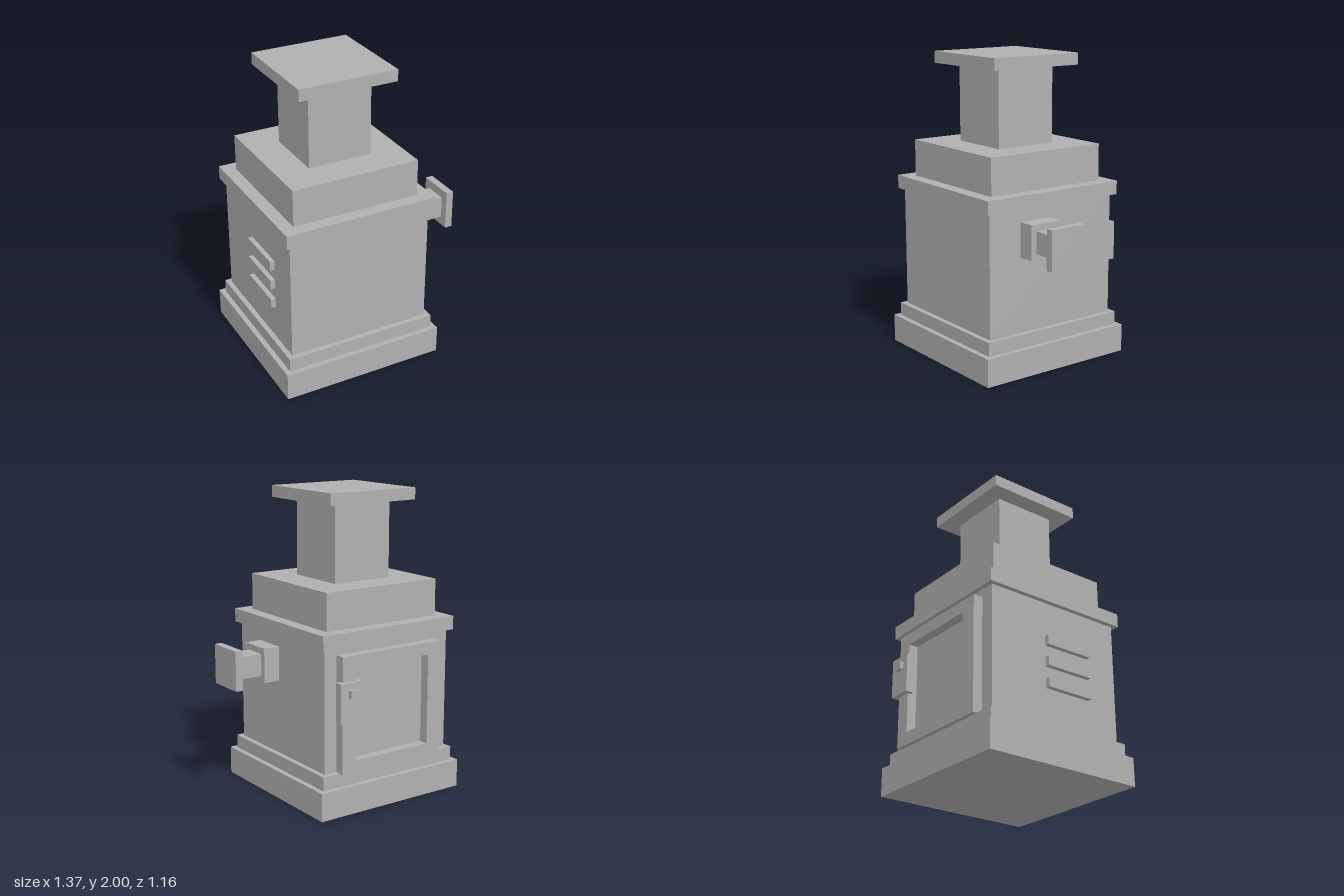
import * as THREE from 'three';

export function createModel() {
  const model = new THREE.Group();
  model.name = 'stove';
  const iron = new THREE.MeshStandardMaterial({ color: 0xb0b0b0 });
  iron.name = 'grey iron';

  // Box given by its extents along each axis
  function block(name, [x0, x1], [y0, y1], [z0, z1], parent = model) {
    const mesh = new THREE.Mesh(new THREE.BoxGeometry(x1 - x0, y1 - y0, z1 - z0), iron);
    mesh.name = name;
    mesh.position.set((x0 + x1) / 2, (y0 + y1) / 2, (z0 + z1) / 2);
    parent.add(mesh);
    return mesh;
  }

  // Stacked square tiers: name, half width, bottom, top
  const cx = -0.135, cz = 0.027;
  const tiers = [
    ['base', 0.554, 0, 0.185],
    ['baseStep', 0.52, 0.185, 0.275],
    ['body', 0.486, 0.275, 1.08],
    ['cornice', 0.518, 1.08, 1.17],
    ['hood', 0.432, 1.17, 1.413],
    ['chimney', 0.215, 1.413, 1.923],
    ['chimneyCap', 0.332, 1.923, 2],
  ];
  for (const [name, h, y0, y1] of tiers) {
    block(name, [cx - h, cx + h], [y0, y1], [cz - h, cz + h]);
  }

  // Side pipe with flange and end plate
  const pipe = new THREE.Group();
  pipe.name = 'sidePipe';
  model.add(pipe);
  block('pipeFlange', [0.34, 0.463], [0.77, 0.997], [0.053, 0.276], pipe);
  block('pipeNeck', [0.463, 0.635], [0.81, 0.955], [0.09, 0.24], pipe);
  block('pipeEndPlate', [0.635, 0.685], [0.752, 1.013], [0.035, 0.295], pipe);

  // Door frame on the back, open in the middle
  const frame = new THREE.Shape();
  frame.moveTo(-0.525, 0.27).lineTo(0.26, 0.27).lineTo(0.26, 1.03).lineTo(-0.525, 1.03).closePath();
  const opening = new THREE.Path();
  opening.moveTo(-0.418, 0.35).lineTo(-0.418, 0.95).lineTo(0.16, 0.95).lineTo(0.16, 0.35).closePath();
  frame.holes.push(opening);
  const door = new THREE.Mesh(
    new THREE.ExtrudeGeometry(frame, { depth: 0.066, bevelEnabled: false }), iron);
  door.name = 'doorFrame';
  door.position.z = -0.523;
  model.add(door);

  // Latch plate and knob
  block('latchPlate', [0.132, 0.295], [0.613, 0.87], [-0.555, -0.5]);
  block('latchKnob', [0.175, 0.235], [0.774, 0.826], [-0.58, -0.55]);

  // Vent slats on the right side
  for (const y of [0.54, 0.68, 0.82]) {
    block('ventSlat', [-0.653, -0.61], [y - 0.032, y + 0.032], [-0.05, 0.285]);
  }

  return model;
}
